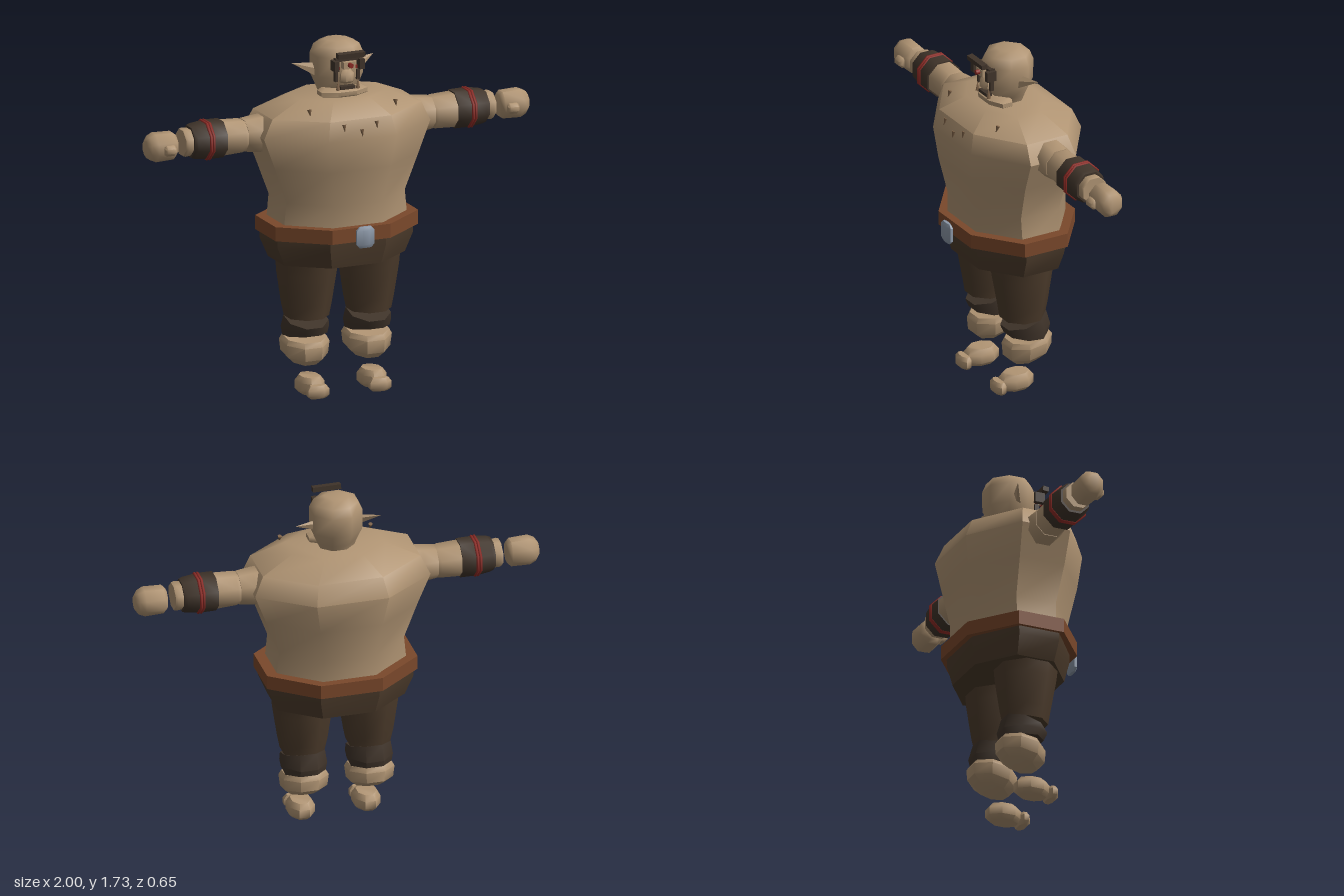
import * as THREE from 'three';
import { toCreasedNormals } from 'three/addons/utils/BufferGeometryUtils.js';

const mat = (name, color) => {
  const m = new THREE.MeshStandardMaterial({ color });
  m.name = name;
  return m;
};

// Chamfered octagon cross-section
const C = 0.41;
const OCT = [[1, C], [C, 1], [-C, 1], [-1, C], [-1, -C], [-C, -1], [C, -1], [1, -C]];

// Lofts octagon rings, bottom to top: [y, halfWidth, zBack, zFront, slope of y along z]
function loft(rings, crease = 0.9) {
  const pos = [], idx = [], n = 8;
  for (const [y, w, zb, zf, slope = 0] of rings) {
    const cz = (zb + zf) / 2, d = (zf - zb) / 2;
    for (const [u, v] of OCT) pos.push(u * w, y + slope * (cz + d * v), cz + d * v);
  }
  for (let i = 0; i < rings.length - 1; i++) {
    for (let j = 0; j < n; j++) {
      const a = i * n + j, b = i * n + (j + 1) % n;
      idx.push(a, a + n, b, b, a + n, b + n);
    }
  }
  const top = (rings.length - 1) * n;
  for (let j = 1; j < n - 1; j++) {
    idx.push(0, j, j + 1);
    idx.push(top, top + j + 1, top + j);
  }
  const g = new THREE.BufferGeometry();
  g.setAttribute('position', new THREE.Float32BufferAttribute(pos, 3));
  g.setIndex(idx);
  g.computeVertexNormals();
  return toCreasedNormals(g, crease);
}

export function createModel() {
  const root = new THREE.Group();
  root.name = 'ogre';
  const skin = mat('skin', 0xb09473);
  const trousers = mat('trousers', 0x4c3b2b);
  const leather = mat('darkLeather', 0x40342a);
  const beltMat = mat('beltLeather', 0x7a482b);
  const red = mat('red', 0x8c2a24);
  const steel = mat('steel', 0x8c98a8);
  const horn = mat('horn', 0x7c6046);

  const add = (parent, name, geo, material, x = 0, y = 0, z = 0) => {
    const m = new THREE.Mesh(geo, material);
    m.name = name;
    m.position.set(x, y, z);
    parent.add(m);
    return m;
  };
  const box = (w, h, d) => new THREE.BoxGeometry(w, h, d);
  const group = (name, parent = root) => {
    const g = new THREE.Group();
    g.name = name;
    parent.add(g);
    return g;
  };

  // Torso, belt and trouser seat
  add(root, 'torso', loft([
    [0.82, 0.325, -0.265, 0.23], [0.97, 0.31, -0.27, 0.235], [1.15, 0.375, -0.3, 0.27],
    [1.305, 0.435, -0.325, 0.285], [1.4, 0.39, -0.285, 0.262], [1.47, 0.23, -0.165, 0.155]], 0.8), skin);
  add(root, 'belt', loft([[0.795, 0.373, -0.305, 0.27], [0.865, 0.373, -0.305, 0.27]], 0.5), beltMat);
  add(root, 'trouserSeat', loft([
    [0.66, 0.315, -0.255, 0.213], [0.755, 0.355, -0.275, 0.233], [0.83, 0.355, -0.28, 0.235]], 0.5), trousers);
  add(root, 'buckle', loft([
    [-0.052, 0.03, -0.008, 0.008], [-0.035, 0.045, -0.016, 0.016],
    [0.035, 0.045, -0.016, 0.016], [0.052, 0.03, -0.008, 0.008]], 0.6), steel, 0, 0.828, 0.313);

  // Small studs on the chest
  const studs = group('chestStuds');
  for (const [x, y, z] of [[-0.09, 1.365, 0.272], [0, 1.335, 0.28], [0.08, 1.365, 0.272],
    [-0.225, 1.43, 0.17], [0.225, 1.43, 0.17]]) {
    const s = add(studs, 'stud', new THREE.ConeGeometry(0.011, 0.036, 6), horn, x, y, z);
    s.rotation.x = Math.PI - 0.35;
  }

  // Head
  const head = group('head');
  add(head, 'skull', loft([
    [1.46, 0.08, -0.09, 0.05], [1.5, 0.095, -0.105, 0.07], [1.56, 0.118, -0.135, 0.095],
    [1.66, 0.12, -0.137, 0.097], [1.705, 0.102, -0.12, 0.075], [1.728, 0.055, -0.075, 0.03]], 1), skin);
  add(head, 'jaw', loft([
    [1.462, 0.1, -0.01, 0.095], [1.475, 0.12, -0.015, 0.11],
    [1.495, 0.12, -0.015, 0.11], [1.508, 0.095, -0.01, 0.09]]), skin);
  add(head, 'nose', loft([
    [1.54, 0.03, 0.07, 0.115], [1.55, 0.036, 0.07, 0.125],
    [1.585, 0.034, 0.07, 0.122], [1.605, 0.02, 0.07, 0.105]]), skin);
  add(head, 'brow', box(0.14, 0.024, 0.03), leather, 0, 1.688, 0.145).rotation.x = 0.1;
  add(head, 'eyeBand', box(0.125, 0.014, 0.03), leather, 0, 1.657, 0.1);
  add(head, 'foreheadBoss', box(0.06, 0.035, 0.05), skin, 0, 1.632, 0.11);
  const gem = add(head, 'gem', new THREE.CylinderGeometry(0.012, 0.012, 0.02, 8), red, 0, 1.635, 0.145);
  gem.rotation.x = Math.PI / 2;
  add(head, 'mouth', box(0.075, 0.016, 0.03), leather, 0, 1.517, 0.1);
  for (const s of [1, -1]) {
    add(head, 'eyeGuard', box(0.026, 0.05, 0.05), leather, s * 0.066, 1.632, 0.11);
    add(head, 'eye', box(0.016, 0.014, 0.012), red, s * 0.047, 1.615, 0.103);
    add(head, 'cheekStrap', box(0.014, 0.05, 0.02), leather, s * 0.057, 1.575, 0.1);
    add(head, 'tusk', new THREE.ConeGeometry(0.011, 0.05, 5), horn, s * 0.052, 1.535, 0.113);
    // Pointed ear, aimed outward and back
    const ear = add(head, 'ear', toCreasedNormals(new THREE.ConeGeometry(0.034, 0.12, 5), 0.5),
      skin, s * 0.16, 1.602, -0.046);
    ear.scale.set(1, 1, 0.45);
    ear.quaternion.setFromUnitVectors(new THREE.Vector3(0, 1, 0),
      new THREE.Vector3(s * 0.11, 0.03, -0.045).normalize());
  }

  // Arms: lofts laid along x
  const tube = (stops) => loft(stops.map(([t, r]) => [t, r, -r, r]));
  for (const s of [1, -1]) {
    const arm = group(s > 0 ? 'leftArm' : 'rightArm');
    arm.position.set(0, 1.305, -0.025);
    arm.rotation.z = -s * Math.PI / 2;
    add(arm, 'shoulder', tube([[0.36, 0.088], [0.42, 0.084], [0.49, 0.076]]), skin);
    add(arm, 'upperArm', tube([[0.485, 0.072], [0.505, 0.077], [0.62, 0.082]]), skin);
    add(arm, 'bracer', tube([[0.605, 0.088], [0.685, 0.089], [0.755, 0.08], [0.772, 0.074]]), leather);
    for (const t of [0.679, 0.693]) {
      const ring = add(arm, 'redBand', new THREE.TorusGeometry(0.094, 0.008, 6, 8), red, 0, t, 0);
      ring.rotation.set(Math.PI / 2, 0, Math.PI / 8);
    }
    add(arm, 'wrist', tube([[0.76, 0.062], [0.8, 0.066], [0.812, 0.062]]), skin);
    const hand = add(arm, 'hand', loft([
      [0.845, 0.05, -0.045, 0.045], [0.862, 0.065, -0.06, 0.06],
      [0.955, 0.068, -0.062, 0.064], [0.985, 0.055, -0.05, 0.05], [1, 0.035, -0.03, 0.03]], 1), skin);
    hand.position.x = s * 0.007;
    add(arm, 'thumb', loft([
      [0.868, 0.018, 0.03, 0.078], [0.878, 0.026, 0.03, 0.086],
      [0.917, 0.026, 0.03, 0.086], [0.927, 0.018, 0.03, 0.078]]), skin, s * 0.015);
  }

  // Legs
  for (const s of [1, -1]) {
    const leg = group(s > 0 ? 'leftLeg' : 'rightLeg');
    leg.position.x = s * 0.163;
    add(leg, 'thigh', loft([
      [0.378, 0.1, -0.108, 0.095], [0.44, 0.112, -0.12, 0.103], [0.6, 0.134, -0.142, 0.13],
      [0.7, 0.14, -0.15, 0.142]]), trousers);
    add(leg, 'kneeWrap', loft([
      [0.284, 0.1, -0.125, 0.072, 0.1], [0.32, 0.106, -0.137, 0.085, 0],
      [0.362, 0.1, -0.115, 0.09, -0.3]]), leather);
    add(leg, 'calf', loft([
      [0.15, 0.07, -0.1, 0.04, -0.25], [0.185, 0.105, -0.143, 0.075, -0.2],
      [0.245, 0.112, -0.145, 0.08, -0.15], [0.268, 0.1, -0.13, 0.066, -0.16]], 0.8), skin);
    add(leg, 'foot', loft([
      [0.004, 0.045, -0.035, 0.095], [0.024, 0.063, -0.056, 0.112],
      [0.064, 0.063, -0.056, 0.112], [0.09, 0.045, -0.035, 0.09]]), skin);
    add(leg, 'toes', loft([
      [0, 0.04, 0.105, 0.143], [0.015, 0.055, 0.095, 0.156],
      [0.045, 0.055, 0.095, 0.156], [0.064, 0.04, 0.105, 0.143]]), skin);
  }
  return root;
}
